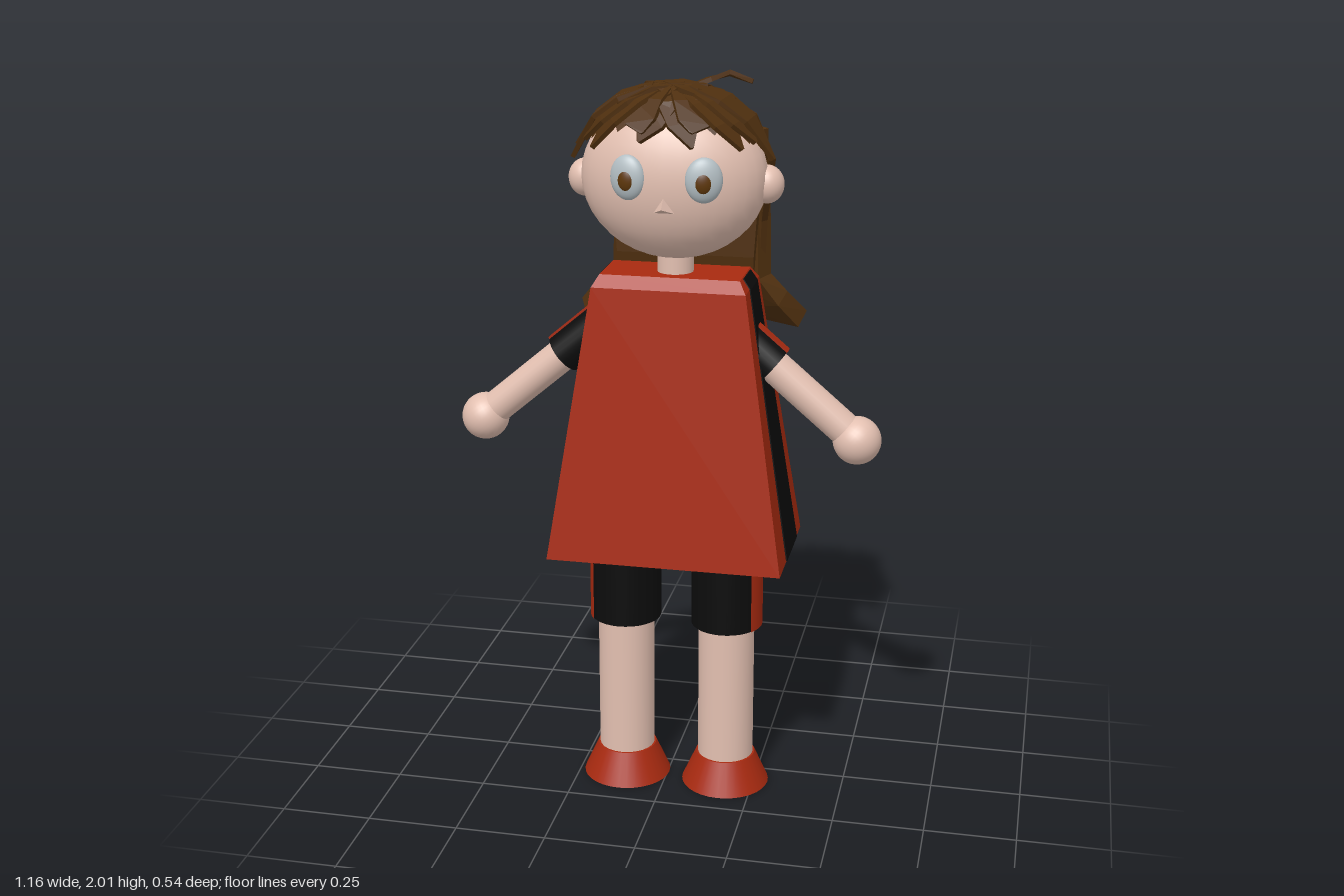
import * as THREE from 'three';

const RED = 0xa82a10, BLACK = 0x0c0c0c, SKIN = 0xe2bfb0, HAIR = 0x50300f;
const HEAD = new THREE.Vector3(0.022, 1.74, 0.085);
const CX = 0.025, CZ = 0.07; // body axis

function add(parent, name, geo, color, flat = false) {
  const mat = new THREE.MeshStandardMaterial({ color, flatShading: flat });
  const mesh = new THREE.Mesh(geo, mat);
  mesh.name = name;
  parent.add(mesh);
  return mesh;
}

// Closed skin over a row of four-cornered rings
function skin(rings) {
  const pos = rings.flat().flatMap(p => [p.x, p.y, p.z]);
  const idx = [0, 1, 2, 0, 2, 3];
  for (let i = 0; i < rings.length - 1; i++) {
    for (let j = 0; j < 4; j++) {
      const a = i * 4 + j, b = i * 4 + (j + 1) % 4;
      idx.push(a, a + 4, b + 4, a, b + 4, b);
    }
  }
  const e = (rings.length - 1) * 4;
  idx.push(e, e + 3, e + 2, e, e + 2, e + 1);
  const g = new THREE.BufferGeometry();
  g.setAttribute('position', new THREE.Float32BufferAttribute(pos, 3));
  g.setIndex(idx);
  const flat = g.toNonIndexed();
  flat.computeVertexNormals();
  return flat;
}

// Stack of level rectangles: [y, x0, x1, z0, z1]
const stack = rows => skin(rows.map(([y, x0, x1, z0, z1]) => [
  new THREE.Vector3(x0, y, z0), new THREE.Vector3(x1, y, z0),
  new THREE.Vector3(x1, y, z1), new THREE.Vector3(x0, y, z1)]));

// Hair lock: flat strip along a path, facing away from the head
function lock(points, widths, thick) {
  return skin(points.map((p, i) => {
    const t = points[Math.min(i + 1, points.length - 1)].clone()
      .sub(points[Math.max(i - 1, 0)]).normalize();
    const out = p.clone().sub(new THREE.Vector3(HEAD.x, Math.min(p.y, HEAD.y), HEAD.z));
    const side = t.clone().cross(out).normalize();
    out.copy(side).cross(t).normalize();
    const at = (u, v) => p.clone().addScaledVector(side, u * widths[i]).addScaledVector(out, v * thick);
    return [at(-1, -1), at(1, -1), at(1, 1), at(-1, 1)];
  }));
}

// Point on the scalp; azimuth 0 is the front, in degrees
function scalp(az, el, k = 1) {
  const a = az * Math.PI / 180, e = el * Math.PI / 180;
  const z = Math.cos(e) * Math.cos(a);
  return new THREE.Vector3(Math.cos(e) * Math.sin(a) * 0.25, Math.sin(e) * 0.228, z * (z > 0 ? 0.16 : 0.25))
    .multiplyScalar(k).add(HEAD);
}

function ellipsoid(parent, name, color, x, y, z, rx, ry, rz) {
  const m = add(parent, name, new THREE.SphereGeometry(1, 32, 20), color);
  m.position.set(x, y, z);
  m.scale.set(rx, ry, rz);
  return m;
}

function buildTunic(root) {
  const g = new THREE.Group();
  g.name = 'tunic';
  root.add(g);
  add(g, 'tunicBody', stack([[0.705, -0.3, 0.34, -0.14, 0.242], [1.455, -0.182, 0.228, -0.035, 0.178],
    [1.485, -0.165, 0.208, -0.01, 0.15]]), RED, true);
  add(g, 'sideStripes', stack([[0.708, -0.303, 0.343, -0.055, 0.128], [1.455, -0.185, 0.231, 0.005, 0.118],
    [1.482, -0.17, 0.213, 0.008, 0.115]]), BLACK, true);
  add(g, 'backPanel', stack([[0.715, -0.288, 0.328, -0.143, -0.1], [1.45, -0.172, 0.218, -0.039, 0]]), 0xcccccc, true);
}

function buildLeg(root, s) {
  const g = new THREE.Group();
  g.name = s > 0 ? 'leftLeg' : 'rightLeg';
  g.position.set(CX + s * 0.143, 0, CZ + 0.002);
  root.add(g);
  add(g, 'shin', new THREE.CylinderGeometry(0.078, 0.078, 0.5, 24), SKIN).position.y = 0.3;
  add(g, 'shorts', new THREE.CylinderGeometry(0.098, 0.098, 0.25, 32), BLACK).position.y = 0.615;
  add(g, 'shortsStripe', new THREE.CylinderGeometry(0.1, 0.1, 0.25, 10, 1, true,
    s * Math.PI / 2 - 0.66, 1.32), RED).position.y = 0.615;
  add(g, 'shoe', new THREE.CylinderGeometry(0.083, 0.123, 0.09, 32), RED).position.y = 0.045;
}

function buildArm(root, s) {
  const g = new THREE.Group();
  g.name = s > 0 ? 'leftArm' : 'rightArm';
  g.position.set(s * 0.15, 1.355, 0.065);
  g.rotation.z = s * Math.atan2(0.762, 0.648);
  root.add(g);
  add(g, 'arm', new THREE.CylinderGeometry(0.045, 0.045, 0.46, 24), SKIN).position.y = -0.23;
  add(g, 'sleeve', new THREE.CylinderGeometry(0.057, 0.057, 0.18, 24), BLACK).position.y = -0.09;
  add(g, 'sleeveStripe', new THREE.BoxGeometry(0.008, 0.18, 0.03), RED).position.set(s * 0.056, -0.091, 0);
  ellipsoid(g, 'hand', SKIN, 0, -0.478, 0, 0.065, 0.065, 0.065);
}

function buildHead(root) {
  const g = new THREE.Group();
  g.name = 'head';
  root.add(g);
  add(g, 'neck', new THREE.CylinderGeometry(0.048, 0.048, 0.14, 24), SKIN).position.set(0.022, 1.52, CZ);
  ellipsoid(g, 'skull', SKIN, HEAD.x, HEAD.y, HEAD.z, 0.245, 0.215, 0.155);
  for (const s of [-1, 1]) {
    ellipsoid(g, 'ear', SKIN, HEAD.x + s * 0.24, 1.725, CZ, 0.045, 0.05, 0.045);
    const eye = new THREE.Group();
    eye.name = 'eye';
    eye.position.set(0.028 + s * 0.098, 1.758, 0.222);
    eye.rotation.y = s * 0.25;
    g.add(eye);
    ellipsoid(eye, 'eyeball', 0xb4bfc4, 0, 0, 0, 0.048, 0.058, 0.024);
    ellipsoid(eye, 'iris', 0x5f380c, -s * 0.002, -0.004, 0.013, 0.025, 0.031, 0.014);
  }
  const nose = add(g, 'nose', new THREE.ConeGeometry(0.04, 0.045, 3), SKIN, true);
  nose.rotation.set(Math.PI / 2, Math.PI, 0);
  nose.position.set(0.025, 1.687, 0.243);
}

function buildHair(root) {
  const g = new THREE.Group();
  g.name = 'hair';
  root.add(g);

  // Cap whose lower edge rises at the front and falls at the back
  const cap = new THREE.SphereGeometry(1, 24, 8);
  const pos = cap.attributes.position, uv = cap.attributes.uv;
  for (let i = 0; i < pos.count; i++) {
    const az = uv.getX(i) * 360;
    const drop = 72 - 20 * Math.cos(az * Math.PI / 180);
    const p = scalp(az, 90 - (1 - uv.getY(i)) * drop, 0.99);
    pos.setXYZ(i, p.x, p.y, p.z);
  }
  cap.computeVertexNormals();
  add(g, 'hairCap', cap, HAIR, true).material.side = THREE.DoubleSide;

  // Fringe and side locks: [azimuth, tip elevation, sideways sweep]
  const fringe = [[-112, 5, -4], [-92, 18, 8], [-75, 10, -8], [-58, 24, -8], [-40, 20, -10], [-22, 32, 9],
    [-6, 27, -9], [10, 24, 8], [26, 33, -8], [42, 22, 10], [58, 25, 8], [75, 13, 6], [92, 20, -6], [112, 5, 4]];
  fringe.forEach(([az, el, sweep], i) => {
    const k = 1.02 + (i % 3) * 0.014;
    const pts = [scalp(az * 0.9, 78, k), scalp(az, 58, k + 0.015), scalp(az + sweep / 2, 40, k + 0.02),
      scalp(az + sweep, el, k + 0.035)];
    add(g, 'fringeLock', lock(pts, [0.03, 0.05, 0.042, 0.004], 0.006), HAIR, true);
  });

  // Broad locks crossing the crown
  for (let i = 0; i < 9; i++) {
    const az = i * 40 + 15, k = 1.02 + (i % 2) * 0.015;
    add(g, 'crownLock', lock([scalp(az + 150, 84, k), scalp(az, 76, k + 0.01), scalp(az + 8, 52, k + 0.015)],
      [0.03, 0.055, 0.012], 0.006), HAIR, true);
  }
  const v = (x, y, z) => new THREE.Vector3(x, y, z);
  add(g, 'tuft', lock([v(0.05, 1.96, 0.04), v(0.1, 1.98, 0.02), v(0.15, 1.995, 0.0), v(0.21, 1.975, 0.0)],
    [0.03, 0.04, 0.03, 0.006], 0.006), HAIR, true);

  // Long hair down the back
  add(g, 'backHair', stack([[1.32, -0.15, 0.2, -0.18, -0.08], [1.5, -0.165, 0.21, -0.17, -0.05],
    [1.65, -0.175, 0.22, -0.165, -0.045], [1.8, -0.175, 0.22, -0.155, -0.03], [1.9, -0.1, 0.14, -0.1, 0]]), HAIR, true);

  // Flared ends
  const flares = [[-0.13, -0.235, 1.3, -0.185, 0.068], [0.02, 0.01, 1.275, -0.245, 0.11], [0.175, 0.27, 1.305, -0.205, 0.08]];
  for (const [x, tipX, tipY, tipZ, w] of flares) {
    const mid = x === 0.02 ? -0.155 : -0.125;
    add(g, 'flaredLock', lock([v(x, 1.84, mid + 0.01), v(x, 1.6, mid - 0.015), v(x, 1.43, mid - 0.01),
      v((x + tipX) / 2, 1.36, mid - 0.03), v(tipX, tipY, tipZ)], [w * 0.7, w * 0.8, w * 0.9, w, w], 0.026), HAIR, true);
  }

  // Thin strands over the back
  for (let i = 0; i < 8; i++) {
    const az = 118 + i * 17.7, x = HEAD.x + 0.21 * Math.sin(az * Math.PI / 180);
    const z = -0.165 - 0.025 * (i % 2) + Math.abs(x - HEAD.x) * 0.3;
    add(g, 'backStrand', lock([scalp(az, 70, 1.03), scalp(az, 40, 1.04), scalp(az, 12, 1.02),
      v(x, 1.6, z), v(x * 1.05, 1.4 + 0.05 * (i % 3), z)], [0.03, 0.045, 0.045, 0.035, 0.006], 0.01), HAIR, true);
  }
}

export function createModel() {
  const root = new THREE.Group();
  root.name = 'figure';
  buildTunic(root);
  for (const s of [-1, 1]) {
    buildLeg(root, s);
    buildArm(root, s);
  }
  buildHead(root);
  buildHair(root);
  return root;
}
